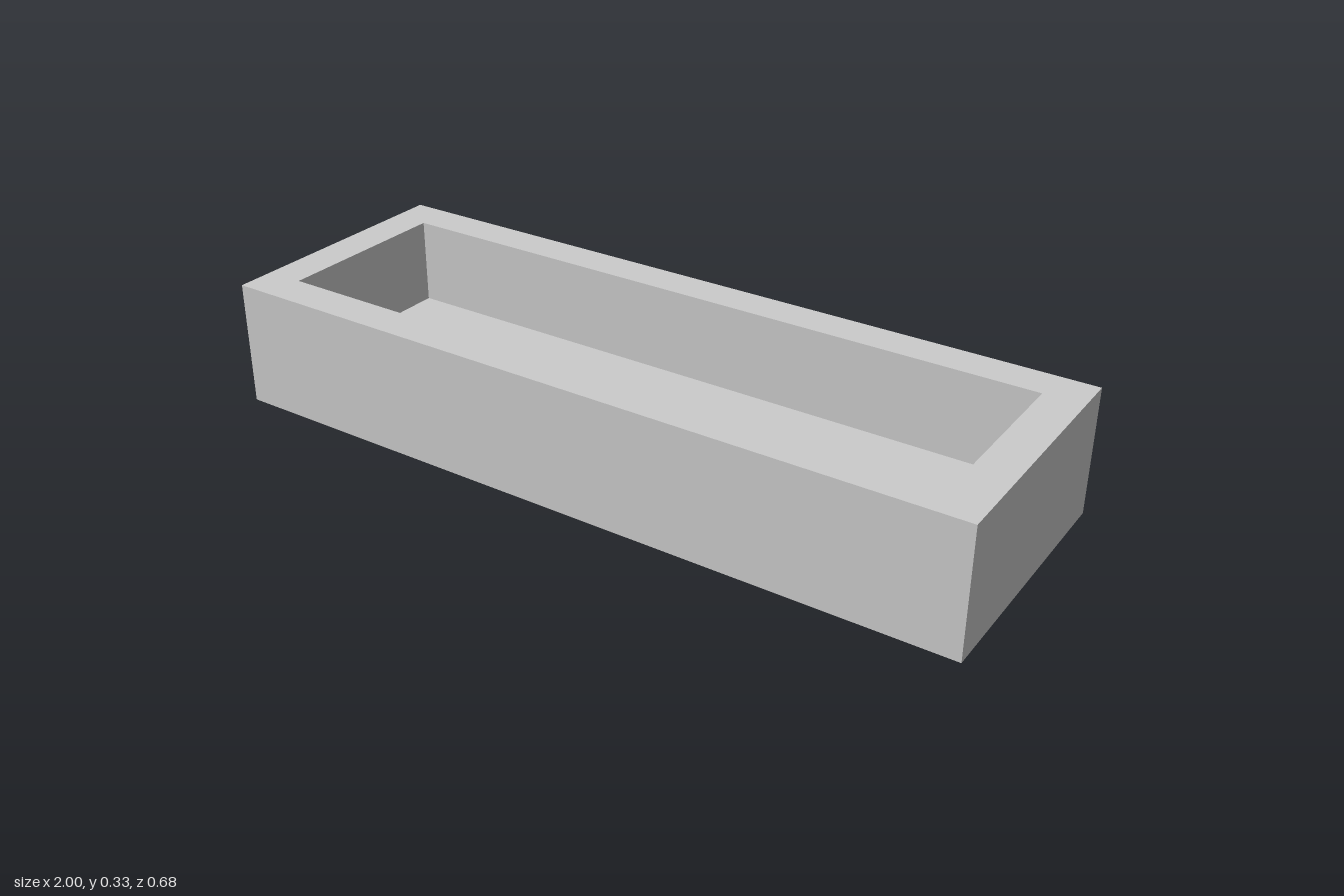
import * as THREE from 'three';

const W = 2, H = 0.328, D = 0.68;             // outer block
const WALL = 0.1, FLOOR = 0.1;                // wall and floor thickness
const PW = W - 2 * WALL, PD = D - 2 * WALL, PH = H - FLOOR; // pocket
const R = 0.021;                              // screw hole radius

const mat = new THREE.MeshStandardMaterial({ color: 0xcccccc });
const openMat = new THREE.MeshStandardMaterial({ color: 0xcccccc, side: THREE.DoubleSide });

function rectPath(path, w, h) {
  path.moveTo(-w / 2, -h / 2);
  path.lineTo(w / 2, -h / 2);
  path.lineTo(w / 2, h / 2);
  path.lineTo(-w / 2, h / 2);
  path.closePath();
  return path;
}

// Flat panel facing +z before it is turned; holes are bored backwards from it
function panel(name, w, h, pos, rot, { holes = [], depth = 0, cutout = null } = {}) {
  const group = new THREE.Group();
  group.name = name;
  const shape = rectPath(new THREE.Shape(), w, h);
  if (cutout) shape.holes.push(rectPath(new THREE.Path(), ...cutout));
  for (const [x, y] of holes) {
    shape.holes.push(new THREE.Path().absarc(x, y, R, 0, Math.PI * 2, true));
    const bore = new THREE.Mesh(
      new THREE.CylinderGeometry(R, R, depth, 24, 1, true).rotateX(Math.PI / 2), openMat);
    bore.position.set(x, y, -depth / 2);
    bore.name = 'holeWall';
    const end = new THREE.Mesh(new THREE.CircleGeometry(R, 24), mat);
    end.position.set(x, y, -depth);
    end.name = 'holeEnd';
    group.add(bore, end);
  }
  const face = new THREE.Mesh(new THREE.ShapeGeometry(shape, 12), mat);
  face.name = name + 'Face';
  group.add(face);
  group.position.set(...pos);
  group.rotation.set(...rot);
  return group;
}

export function createModel() {
  const model = new THREE.Group();
  model.name = 'tray';
  const q = Math.PI / 2;

  // Outer sides; the back has two blind mounting holes
  model.add(
    panel('frontSide', W, H, [0, H / 2, D / 2], [0, 0, 0]),
    panel('backSide', W, H, [0, H / 2, -D / 2], [0, Math.PI, 0],
      { holes: [[-0.835, 0], [0.835, 0]], depth: 0.07 }));
  for (const s of [-1, 1]) {
    model.add(panel(s > 0 ? 'leftEnd' : 'rightEnd', D, H, [s * W / 2, H / 2, 0], [0, s * q, 0]));
  }

  // Underside with a screw hole in each corner
  const cx = W / 2 - 0.05, cz = D / 2 - 0.05;
  model.add(panel('underside', W, D, [0, 0, 0], [q, 0, 0],
    { holes: [[-cx, -cz], [cx, -cz], [cx, cz], [-cx, cz]], depth: 0.2 }));

  // Top rim around the pocket
  model.add(panel('rim', W, D, [0, H, 0], [-q, 0, 0], { cutout: [PW, PD] }));

  // Pocket floor and inward-facing walls
  const py = FLOOR + PH / 2;
  model.add(panel('pocketFloor', PW, PD, [0, FLOOR, 0], [-q, 0, 0]));
  for (const s of [-1, 1]) {
    model.add(
      panel(s > 0 ? 'pocketFrontWall' : 'pocketBackWall', PW, PH,
        [0, py, s * PD / 2], [0, s > 0 ? Math.PI : 0, 0]),
      panel(s > 0 ? 'pocketLeftWall' : 'pocketRightWall', PD, PH,
        [s * PW / 2, py, 0], [0, -s * q, 0]));
  }
  return model;
}
